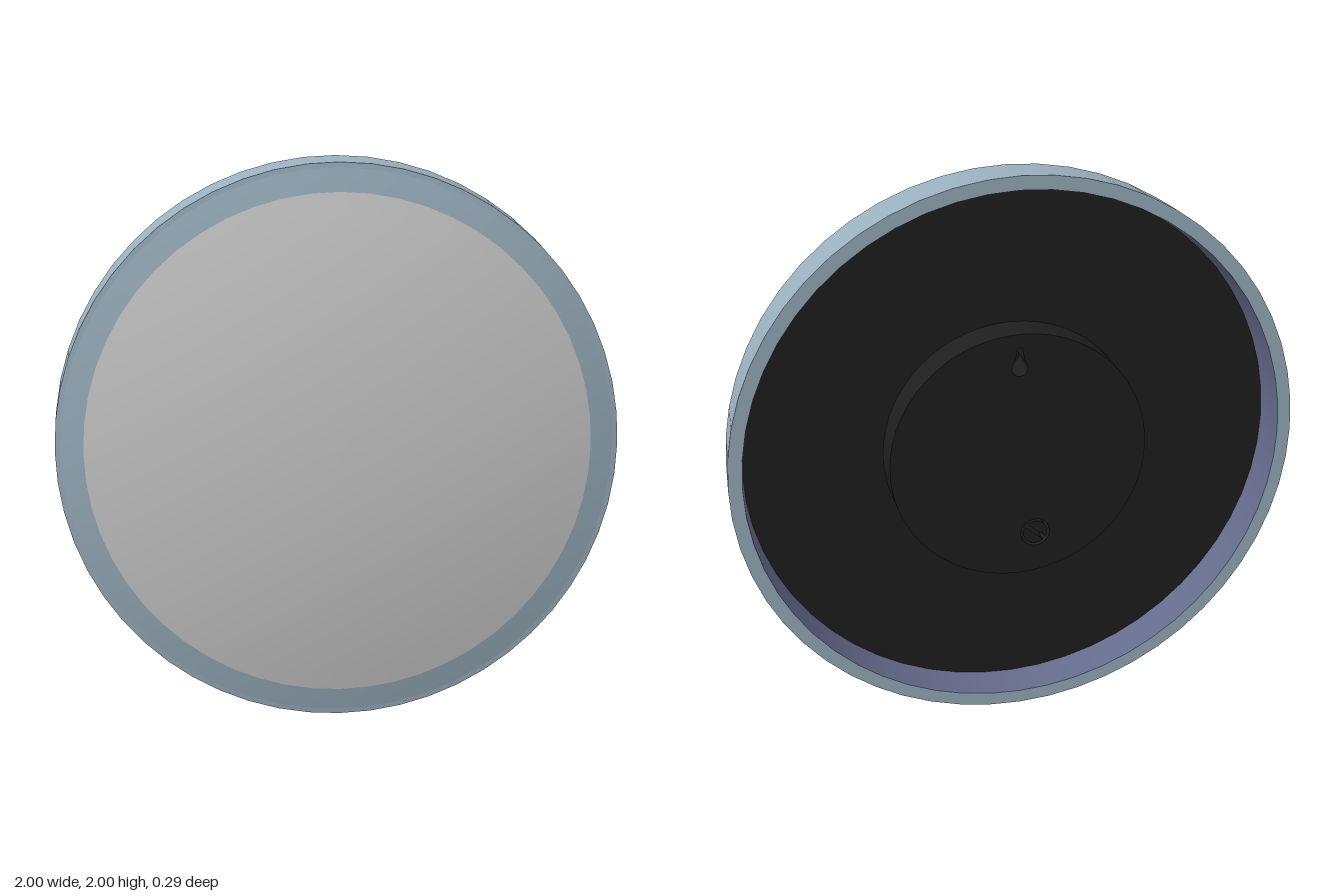
import * as THREE from 'three';

const SEG = 56;

export function createModel() {
  const mat = (name, hex, side = THREE.FrontSide) => {
    const m = new THREE.MeshStandardMaterial({ color: hex, side });
    m.name = name;
    return m;
  };
  const blue = mat('blue grey rim', 0x9ab0be);
  const slate = mat('slate inner wall', 0x656b8c);
  const grey = mat('light grey face', 0xcbcbcb);
  const black = mat('black housing', 0x1e1e1e);

  const group = new THREE.Group();
  const body = new THREE.Group();
  body.name = 'wallDisc';
  body.position.y = 1;
  group.add(body);

  const add = (name, geo, material, parent = body) => {
    const mesh = new THREE.Mesh(geo, material);
    mesh.name = name;
    parent.add(mesh);
    return mesh;
  };
  // Revolves [radius, z] points about the z axis
  const turned = (name, pts, material) => add(name,
    new THREE.LatheGeometry(pts.map(([r, z]) => new THREE.Vector2(r, z)), SEG).rotateX(Math.PI / 2), material);

  // Slightly tapered rim, one mesh per surface to keep the edges sharp
  turned('rimOuterWall', [[1, -0.147], [0.986, 0.043]], blue);
  turned('rimFrontLip', [[0.986, 0.043], [0.968, 0.045]], blue);
  turned('rimBackEdge', [[0.952, -0.147], [1, -0.147]], blue);
  turned('rimInnerWall', [[0.94, -0.02], [0.952, -0.147]], slate);

  // Shallow dome: blue border ring and grey face share one curve
  const domeZ = r => 0.147 - 0.102 * (r / 0.968) ** 2;
  const arc = (r0, r1, n) => Array.from({ length: n + 1 }, (_, i) => {
    const r = r0 + (r1 - r0) * i / n;
    return [r, domeZ(r)];
  });
  turned('domeBorder', arc(0.968, 0.887, 3), blue);
  turned('domeFace', arc(0.887, 0, 14), grey);

  // Recessed back plate
  turned('backPlate', [[0, -0.02], [0.942, -0.02]], black);

  // Round housing with keyhole and knob hole cut through
  const shape = new THREE.Shape();
  shape.absarc(0, 0, 0.455, 0, Math.PI * 2);
  const keyhole = new THREE.Path();
  keyhole.absarc(0, 0.33, 0.028, Math.PI * 0.75, Math.PI * 2.25);
  keyhole.lineTo(0.011, 0.38);
  keyhole.absarc(0, 0.395, 0.011, 0, Math.PI);
  keyhole.closePath();
  const knobX = -0.058, knobY = -0.3;
  const knobHole = new THREE.Path();
  knobHole.absarc(knobX, knobY, 0.052, 0, Math.PI * 2);
  shape.holes.push(keyhole, knobHole);
  const housing = add('backHousing',
    new THREE.ExtrudeGeometry(shape, { depth: 0.122, bevelEnabled: false, curveSegments: 28 }), black);
  housing.position.z = -0.142;

  // Slotted setting knob made of two half discs
  const knob = new THREE.Group();
  knob.name = 'settingKnob';
  knob.position.set(knobX, knobY, -0.14);
  knob.rotation.z = 0.7;
  body.add(knob);
  const half = new THREE.Shape();
  half.absarc(0, 0, 0.043, 0.16, Math.PI - 0.16);
  half.closePath();
  for (const turn of [0, Math.PI]) {
    add('knobHalf', new THREE.ExtrudeGeometry(half, { depth: 0.12, bevelEnabled: false }), black, knob)
      .rotation.z = turn;
  }
  return group;
}
